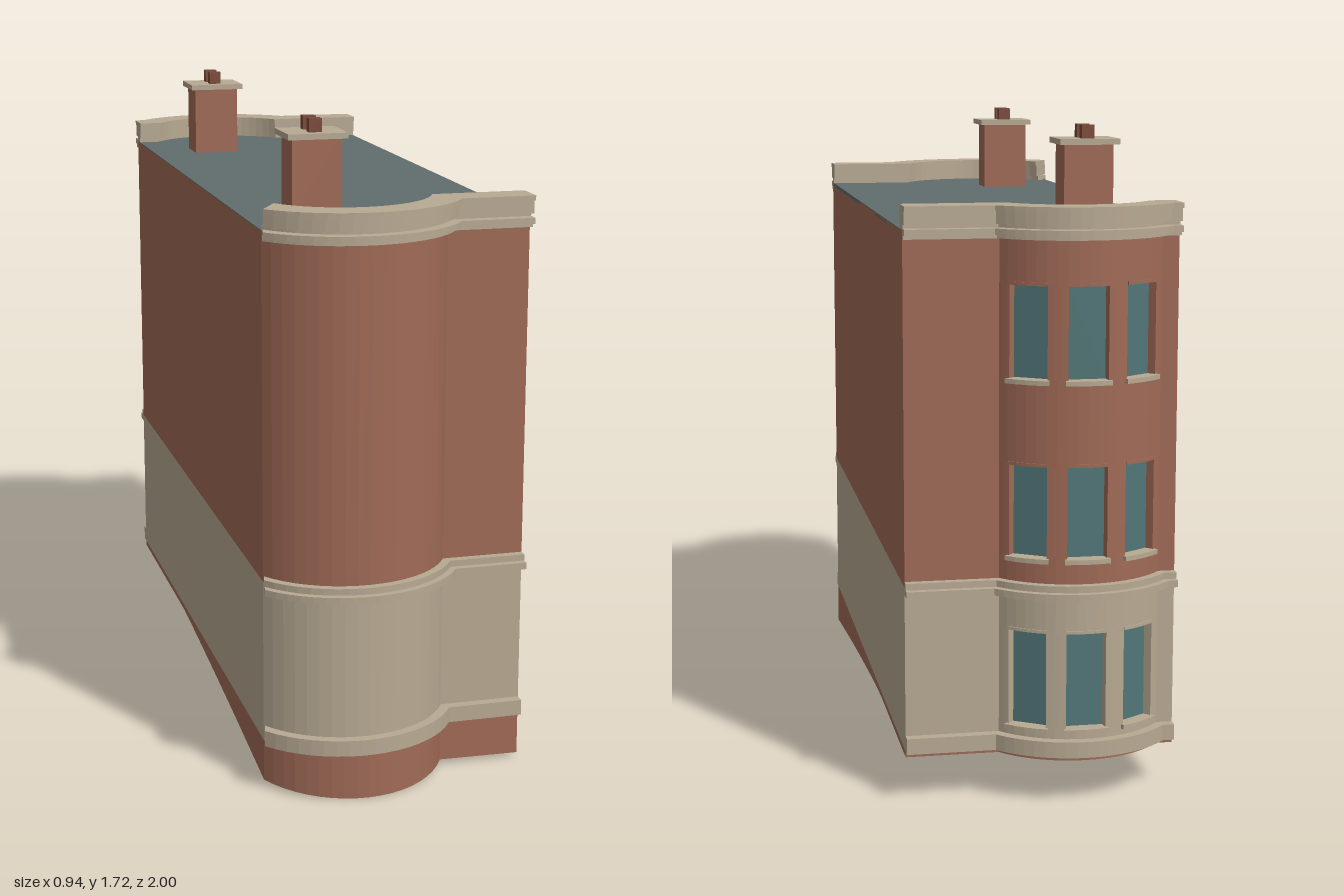
import * as THREE from 'three';

const mat = (color) => new THREE.MeshStandardMaterial({ color, flatShading: true, side: THREE.DoubleSide });
const BRICK = mat(0xa06a56), STONE = mat(0xb8aa93), ROOF = mat(0x606e6d), GLASS = mat(0x527678), POT = mat(0x7c4a3a);

const TURN = 0.132;     // the plan is skewed from the axes
const HALF = 0.352;     // half width of the block
const FRONT = { cx: -0.113, cz: 0.70, r: 0.28, flat: 0.831, dir: 1 };
const BACK = { cx: -0.10, cz: 0.683, r: 0.27, flat: 0.854, dir: -1 };

// Points [x, z] on a bow between two angles
function arc(b, r, a0, a1, n) {
  return Array.from({ length: n + 1 }, (_, i) => {
    const a = a0 + (a1 - a0) * i / n;
    return [b.cx + r * Math.sin(a), b.dir * (b.cz + r * Math.cos(a))];
  });
}

// Facade line from left to right, pushed out by off
function facade(b, off = 0) {
  const r = b.r + off, z = b.flat + off;
  const a1 = Math.acos((z - b.cz) / r);
  if (b === FRONT) {
    const a0 = -Math.min(1.022, Math.asin(Math.min(1, (0.239 + off * 0.2) / r)));
    return [...arc(b, r, a0, a1, 18), [HALF, z]];
  }
  return [[-HALF, -z], ...arc(b, r, -a1, a1, 18), [HALF, -z]];
}

// Ground slopes up from the front, then runs level
function ground([x, z]) {
  const worldZ = x * Math.sin(TURN) + z * Math.cos(TURN);
  const t = THREE.MathUtils.clamp((0.96 - worldZ) / 1.21, 0, 1);
  return 0.115 * t * (1.25 - 0.25 * t);
}

function add(parent, name, geo, material) {
  const m = new THREE.Mesh(geo, material);
  m.name = name;
  parent.add(m);
  return m;
}

// Upright wall sheet along a path; heights are numbers or functions of the point
function sheet(path, y0, y1) {
  const h = (y, p) => (typeof y === 'function' ? y(p) : y);
  const v = [];
  for (let i = 0; i < path.length - 1; i++) {
    const p = path[i], q = path[i + 1];
    const A = [p[0], h(y0, p), p[1]], B = [q[0], h(y0, q), q[1]];
    const C = [q[0], h(y1, q), q[1]], D = [p[0], h(y1, p), p[1]];
    v.push(...A, ...B, ...C, ...A, ...C, ...D);
  }
  const g = new THREE.BufferGeometry();
  g.setAttribute('position', new THREE.Float32BufferAttribute(v, 3));
  g.computeVertexNormals();
  return g;
}

// Level slab with the given plan outline
function slab(points, y0, y1) {
  const shape = new THREE.Shape(points.map(([x, z]) => new THREE.Vector2(x, -z)));
  const g = new THREE.ExtrudeGeometry(shape, { depth: y1 - y0, bevelEnabled: false });
  return g.rotateX(-Math.PI / 2).translate(0, y0, 0);
}

export function createModel() {
  const model = new THREE.Group();
  model.name = 'terraceHouse';
  const house = new THREE.Group();
  house.name = 'house';
  house.rotation.y = -TURN;
  model.add(house);

  // Walls: everything but the rear bow
  const back = facade(BACK), front = facade(FRONT);
  const steps = [0.5, 0.2, -0.05, -0.2, -0.35];
  const ring = [
    back[1], back[0],
    ...steps.slice().reverse().map((z) => [-HALF, z]),
    ...front,
    ...steps.map((z) => [HALF, z]),
    back[back.length - 1], back[back.length - 2],
  ];
  const bow = back.slice(1, -1);
  add(house, 'brickBase', sheet([...ring, ...bow.slice().reverse()], ground, 0.13), BRICK);
  add(house, 'stoneGroundFloor', sheet(ring, 0.13, 0.565), STONE);
  add(house, 'brickUpperFloors', sheet(ring, 0.565, 1.47), BRICK);
  // Inner lining of the left party wall
  add(house, 'partyWallLining', sheet([[-0.349, -0.85], [-0.349, -0.2], [-0.349, 0.83]], ground, 1.46), BRICK);

  // Rear bow with three windows on each floor
  const bowEnd = Math.acos((BACK.flat - BACK.cz) / BACK.r);
  const rad = THREE.MathUtils.degToRad;
  const windows = [-33, 0, 33].map((d) => [rad(d - 11), rad(d + 11)]);
  const edges = [-bowEnd, ...windows.flat(), bowEnd];
  const floors = [
    [0.13, 0.565, 0.20, 0.45, STONE],
    [0.565, 1.0, 0.645, 0.88, BRICK],
    [1.0, 1.47, 1.10, 1.335, BRICK],
  ];
  const rIn = BACK.r - 0.022;
  for (const [y0, y1, w0, w1, material] of floors) {
    add(house, 'bowWallBelowWindows', sheet(bow, y0, w0), material);
    add(house, 'bowWallAboveWindows', sheet(bow, w1, y1), material);
    for (let i = 0; i < edges.length; i += 2) {
      add(house, 'bowPier', sheet(arc(BACK, BACK.r, edges[i], edges[i + 1], 3), w0, w1), material);
    }
    for (const [a, b] of windows) {
      add(house, 'windowPane', sheet(arc(BACK, rIn, a, b, 1), w0, w1), GLASS);
      for (const e of [a, b]) {
        const jamb = [arc(BACK, rIn - 0.006, e, e, 1)[0], arc(BACK, BACK.r, e, e, 1)[0]];
        add(house, 'windowJamb', sheet(jamb, w0, w1), material);
      }
      const sector = (out, grow) => [
        ...arc(BACK, BACK.r + out, a - grow, b + grow, 4),
        ...arc(BACK, rIn - 0.008, b + grow, a - grow, 4),
      ];
      add(house, 'windowSill', slab(sector(0.012, 0.02), w0 - 0.012, w0), STONE);
      add(house, 'windowHead', slab(sector(0.003, 0), w1, w1 + 0.008), material);
    }
  }

  // Roof
  add(house, 'roof', slab([...front, ...back.slice().reverse()], 1.462, 1.472), ROOF);

  // Mouldings and parapets on both facades: name, outer and inner offset, heights
  const courses = [
    ['plinthCourse', 0.026, -0.004, 0.13, 0.172],
    ['stringCourse', 0.04, -0.004, 0.545, 0.563],
    ['stringCourseTop', 0.022, -0.004, 0.563, 0.58],
    ['corniceBed', 0.022, -0.004, 1.45, 1.46],
    ['cornice', 0.04, -0.004, 1.46, 1.476],
    ['parapetFoot', 0.008, -0.035, 1.472, 1.486],
    ['parapet', 0.03, -0.042, 1.486, 1.52],
    ['parapetCoping', 0.04, -0.045, 1.52, 1.533],
  ];
  for (const b of [FRONT, BACK]) {
    for (const [name, out, inn, y0, y1] of courses) {
      add(house, name, slab([...facade(b, out), ...facade(b, inn).reverse()], y0, y1), STONE);
    }
  }

  // Chimneys
  for (const [x, z] of [[-0.162, 0.607], [-0.164, -0.589]]) {
    const chimney = new THREE.Group();
    chimney.name = 'chimney';
    chimney.position.set(x, 1.47, z);
    house.add(chimney);
    add(chimney, 'chimneyStack', new THREE.BoxGeometry(0.13, 0.2, 0.11), BRICK).position.y = 0.1;
    add(chimney, 'chimneyCap', new THREE.BoxGeometry(0.157, 0.015, 0.142), STONE).position.y = 0.203;
    for (const s of [-1, 1]) {
      add(chimney, 'chimneyPot', new THREE.BoxGeometry(0.034, 0.035, 0.026), POT).position.set(0, 0.228, s * 0.03);
    }
  }
  return model;
}
